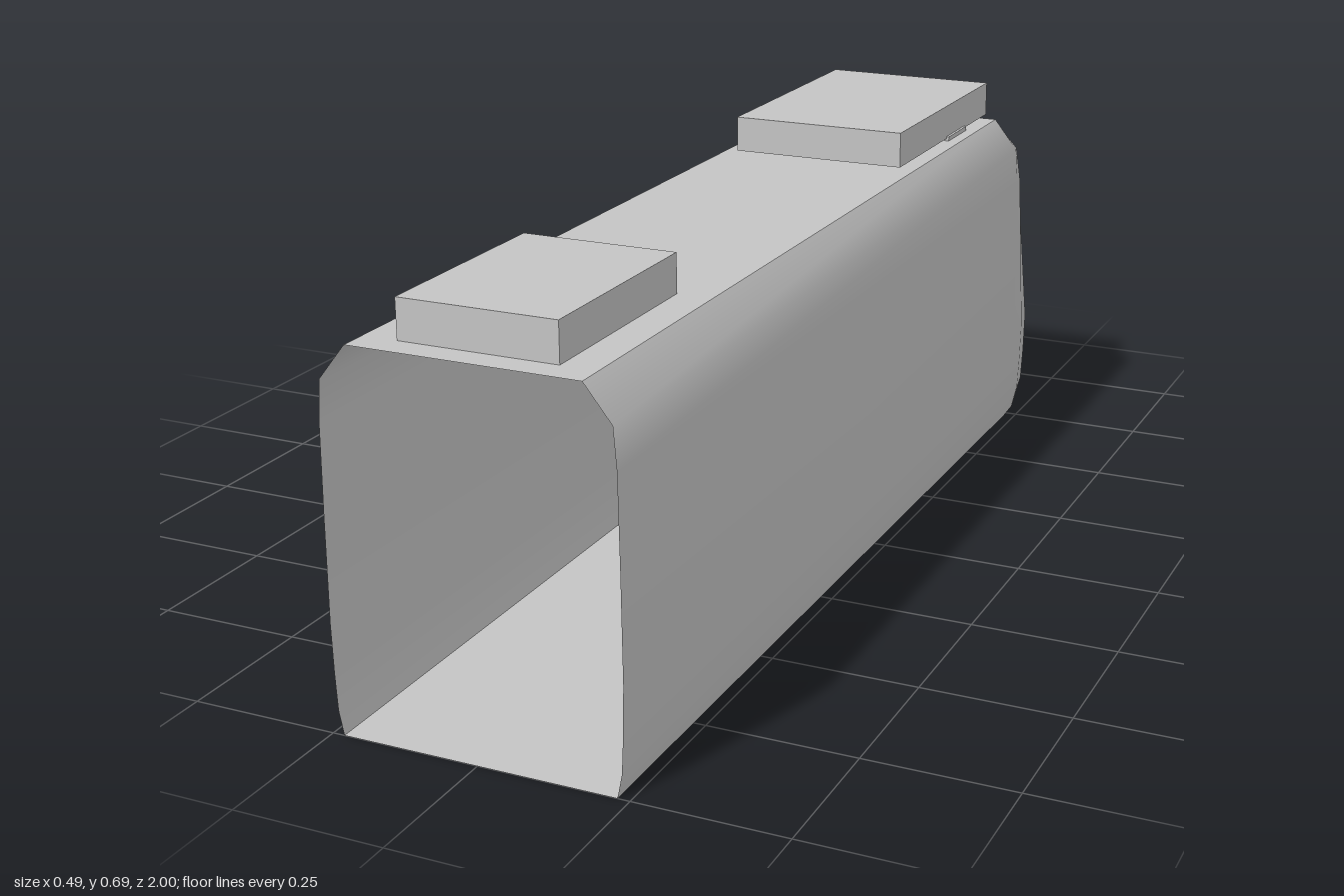
import * as THREE from 'three';
import { toCreasedNormals } from 'three/addons/utils/BufferGeometryUtils.js';

const FRONT = 1, NOSE = -0.735, ROOF = 0.622;

// Height, half width and nose depth of each level
const LEVELS = [
  [0, 0.23, 0.235], [0.04, 0.238, 0.262], [0.1, 0.241, 0.265], [0.18, 0.243, 0.265],
  [0.35, 0.242, 0.184], [0.5, 0.24, 0.11], [0.565, 0.235, 0.055], [ROOF, 0.19, 0],
];

// Half plan of the rounded nose: fraction of width, fraction of depth
const HALF = [[1, 0], [0.985, 0.25], [0.93, 0.5], [0.84, 0.67], [0.71, 0.81], [0.46, 0.945], [0.22, 0.985]];
const PLAN = [...HALF, [0, 1], ...HALF.map(([x, d]) => [-x, d]).reverse()];

// Open outline at one level, running from the front left around the nose
function outline([y, w, depth]) {
  return [
    [w, y, FRONT],
    ...PLAN.map(([x, d]) => [x * w, y, NOSE - d * depth]),
    [-w, y, FRONT],
  ];
}

// Skin joining the outlines from floor to roof
function shellGeometry() {
  const rings = LEVELS.map(outline);
  const n = rings[0].length;
  const index = [];
  for (let j = 0; j < rings.length - 1; j++) {
    for (let i = 0; i < n - 1; i++) {
      const a = j * n + i, b = a + 1, c = b + n, d = a + n;
      index.push(a, b, c, a, c, d);
    }
  }
  const geo = new THREE.BufferGeometry();
  geo.setAttribute('position', new THREE.Float32BufferAttribute(rings.flat(2), 3));
  geo.setIndex(index);
  return toCreasedNormals(geo, 0.8);
}

export function createModel() {
  const group = new THREE.Group();
  const grey = new THREE.MeshStandardMaterial({ color: 0xc4c4c4, side: THREE.DoubleSide });
  grey.name = 'light grey';

  const add = (name, geo, x = 0, y = 0, z = 0) => {
    const mesh = new THREE.Mesh(geo, grey);
    mesh.name = name;
    mesh.position.set(x, y, z);
    group.add(mesh);
    return mesh;
  };

  // Walls and nose, open at the front
  add('bodyShell', shellGeometry());

  // Floor follows the lowest outline
  const floor = new THREE.Shape(outline(LEVELS[0]).map(([x, , z]) => new THREE.Vector2(x, z)));
  add('floor', new THREE.ShapeGeometry(floor).rotateX(Math.PI / 2));

  // Flat roof
  const roof = new THREE.PlaneGeometry(0.38, FRONT - NOSE).rotateX(-Math.PI / 2);
  add('roof', roof, 0, ROOF, (FRONT + NOSE) / 2);

  // Equipment boxes on the roof, with a low fairing under the rear one
  add('frontRoofBox', new THREE.BoxGeometry(0.262, 0.065, 0.365), 0, 0.655, 0.772);
  add('rearRoofBox', new THREE.BoxGeometry(0.326, 0.064, 0.485), 0, 0.658, -0.512);
  add('roofFairing', new THREE.BoxGeometry(0.336, 0.008, 0.1), 0, 0.626, -0.57);
  return group;
}
